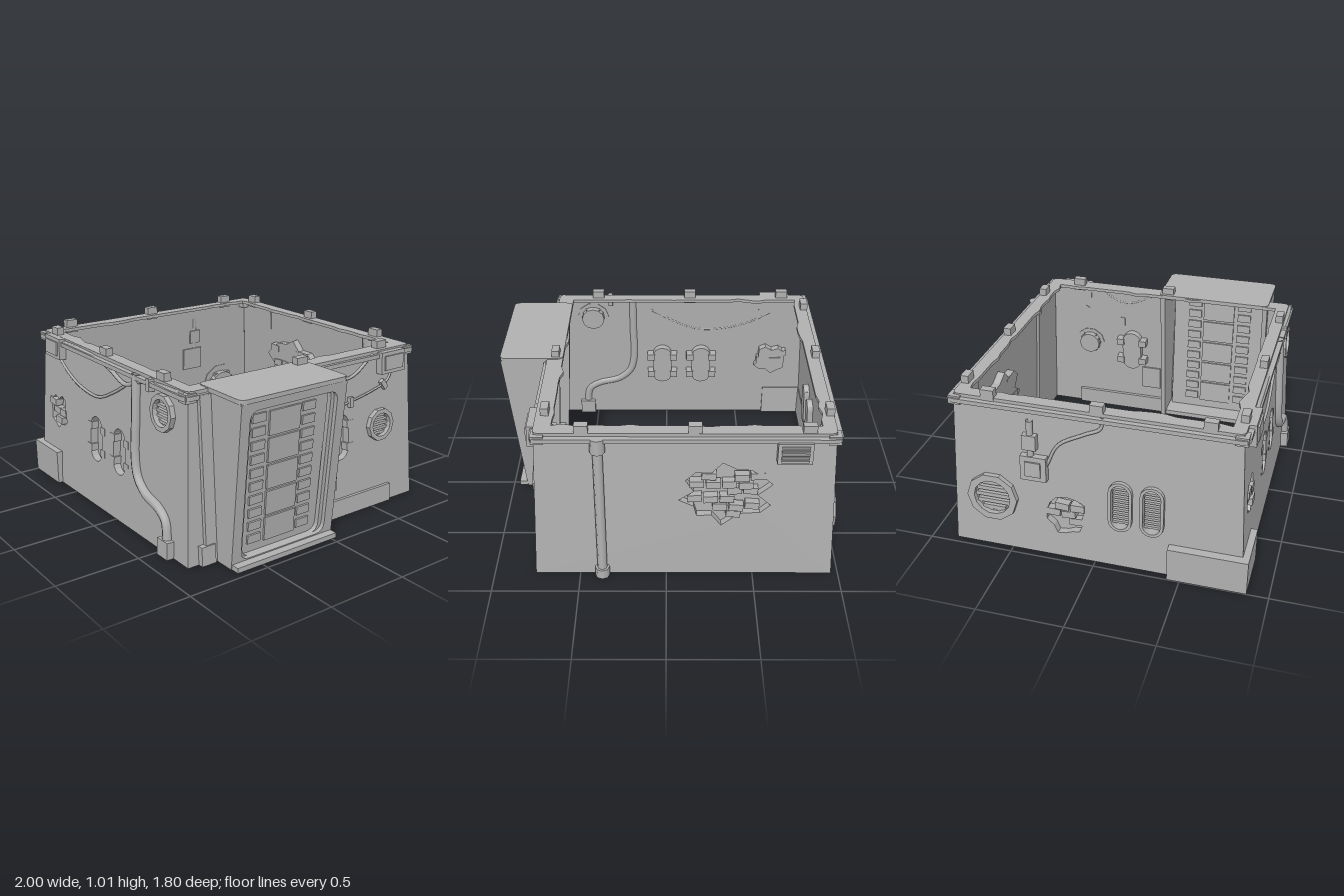
import * as THREE from 'three';

const stone = new THREE.MeshStandardMaterial({ color: 0xb0b0b0, side: THREE.DoubleSide });
stone.name = 'plain grey';

const CX = -0.1, H = 0.96, LEAN = 0.05;

// Seeded noise for broken edges
function noise(seed) {
  let s = seed;
  return () => (s = (s * 16807) % 2147483647) / 2147483647;
}
const v2 = (x, y) => new THREE.Vector2(x, y);

function add(parent, name, geo, pos = [0, 0, 0], rot = [0, 0, 0]) {
  const m = new THREE.Mesh(geo, stone);
  m.name = name;
  m.position.set(...pos);
  m.rotation.set(...rot);
  parent.add(m);
  return m;
}
const box = (p, name, size, pos, rz = 0) => add(p, name, new THREE.BoxGeometry(...size), pos, [0, 0, rz]);

function tube(p, name, pts, r, w = 0, sides = 8) {
  const curve = new THREE.CatmullRomCurve3(pts.map(([x, y]) => new THREE.Vector3(x, y, w)), false, 'centripetal');
  return add(p, name, new THREE.TubeGeometry(curve, pts.length * 6, r, sides));
}

// Outlines used for openings in the walls
function capsule(u, v, w, h, n = 8) {
  const r = w / 2, pts = [];
  for (let i = 0; i <= n; i++) pts.push(v2(u + r * Math.cos(Math.PI * i / n), v + h / 2 - r + r * Math.sin(Math.PI * i / n)));
  for (let i = 0; i <= n; i++) pts.push(v2(u - r * Math.cos(Math.PI * i / n), v - h / 2 + r - r * Math.sin(Math.PI * i / n)));
  return pts;
}
function circle(u, v, r, n = 12) {
  return Array.from({ length: n }, (_, i) => v2(u + r * Math.cos(2 * Math.PI * i / n), v + r * Math.sin(2 * Math.PI * i / n)));
}
function jagged(u, v, rx, ry, seed, n = 15) {
  const rnd = noise(seed);
  return circle(0, 0, 1, n).map(p => { const k = 0.7 + 0.4 * rnd(); return v2(u + p.x * rx * k, v + p.y * ry * k); });
}
function rounded(x0, y0, x1, y1, r, Type = THREE.Shape) {
  const s = new Type();
  s.moveTo(x0 + r, y0); s.lineTo(x1 - r, y0); s.quadraticCurveTo(x1, y0, x1, y0 + r);
  s.lineTo(x1, y1 - r); s.quadraticCurveTo(x1, y1, x1 - r, y1);
  s.lineTo(x0 + r, y1); s.quadraticCurveTo(x0, y1, x0, y1 - r);
  s.lineTo(x0, y0 + r); s.quadraticCurveTo(x0, y0, x0 + r, y0);
  return s;
}
const extrude = (shape, depth) => new THREE.ExtrudeGeometry(shape, { depth, bevelEnabled: false, curveSegments: 5 });

// Leaning wall sheet: local x along the wall, y up, z outwards
function wall(root, name, half, dist, angle, holes) {
  const turn = new THREE.Group(), g = new THREE.Group();
  g.name = name;
  turn.position.x = CX;
  turn.rotation.y = angle;
  g.position.z = dist;
  g.rotation.x = -Math.atan(LEAN / H);
  const s = new THREE.Shape([v2(-half, 0), v2(half, 0), v2(half - LEAN, H), v2(LEAN - half, H)]);
  s.holes = holes.map(pts => new THREE.Path(pts));
  add(g, name + 'Sheet', new THREE.ShapeGeometry(s));
  turn.add(g);
  root.add(turn);
  return g;
}
// Sunken pocket behind an opening: side strip and floor
function pocket(p, name, pts, depth) {
  const n = pts.length, geo = new THREE.PlaneGeometry(1, 1, n, 1), a = geo.attributes.position;
  for (let i = 0; i < a.count; i++) {
    const q = pts[i % (n + 1) % n];
    a.setXYZ(i, q.x, q.y, i > n ? -depth : 0);
  }
  const flat = geo.toNonIndexed();
  flat.computeVertexNormals();
  add(p, name + 'Side', flat);
  add(p, name + 'Floor', new THREE.ShapeGeometry(new THREE.Shape(pts)), [0, 0, -depth]);
}
function ovalWindow(p, pts, u, v) {
  pocket(p, 'ovalRecess', pts, 0.045);
  for (const su of [-1, 1]) for (const dv of [-0.07, 0.07])
    box(p, 'ovalClamp', [0.05, 0.045, 0.06], [u + su * 0.078, v + dv, -0.028]);
}
// Ring frame with louvres, over a sunken opening
function roundVent(p, pts, u, v, r) {
  pocket(p, 'ventRecess', pts, 0.04);
  const s = new THREE.Shape(circle(0, 0, r, 10));
  s.holes.push(new THREE.Path(circle(0, 0, r * 0.72, 14)));
  add(p, 'ventRing', extrude(s, 0.035), [u, v, -0.005]);
  for (let i = -2; i <= 2; i++)
    box(p, 'ventLouvre', [2 * r * 0.72 * Math.cos(i * 0.45), r * 0.16, 0.03], [u, v + i * r * 0.27, -0.01]);
}
function louvreOval(p, pts, u, v, w, h) {
  pocket(p, 'slotRecess', pts, 0.035);
  const s = new THREE.Shape(capsule(0, 0, w + 0.035, h + 0.035));
  s.holes.push(new THREE.Path(capsule(0, 0, w, h)));
  add(p, 'slotFrame', extrude(s, 0.025), [u, v, 0]);
  for (let i = -4; i <= 4; i++) box(p, 'slotLouvre', [w * 0.9, 0.014, 0.03], [u, v + i * h * 0.095, -0.01]);
}
// Broken plaster with exposed bricks
function damage(p, pts, u, v, rx, ry, seed) {
  pocket(p, 'brokenPatch', pts, 0.045);
  const rnd = noise(seed), rows = Math.round(ry / 0.035);
  for (let j = 0; j < rows; j++) {
    const dv = (j + 0.5 - rows / 2) * 0.05, span = rx * 0.7 * Math.sqrt(Math.max(0.1, 1 - (dv / ry) ** 2));
    for (let x = -span; x < span; x += 0.09)
      if (rnd() > 0.2) box(p, 'brick', [0.08, 0.042, 0.05], [u + x + (j % 2) * 0.04, v + dv, -0.03 + rnd() * 0.025], (rnd() - 0.5) * 0.2);
  }
}
function lampBox(p, u, v, slats) {
  box(p, 'wallBox', [0.19, 0.13, 0.05], [u, v, 0.02]);
  if (slats) for (let i = -2; i <= 2; i++) box(p, 'boxSlat', [0.15, 0.012, 0.02], [u, v + i * 0.022, 0.045]);
  else box(p, 'boxCover', [0.145, 0.085, 0.02], [u, v, 0.045]);
}

export function createModel() {
  const root = new THREE.Group();
  root.name = 'roomShell';

  // Front wall
  const oA = capsule(-0.14, 0.43, 0.13, 0.28), oB = capsule(0.13, 0.43, 0.13, 0.28);
  const fVent = circle(0.6, 0.8, 0.075), fHole = jagged(-0.62, 0.475, 0.11, 0.11, 17);
  const front = wall(root, 'frontWall', 0.86, 0.85, 0, [oA, oB, fVent, fHole]);
  ovalWindow(front, oA, -0.14, 0.43);
  ovalWindow(front, oB, 0.13, 0.43);
  roundVent(front, fVent, 0.6, 0.8, 0.105);
  damage(front, fHole, -0.62, 0.475, 0.11, 0.11, 5);
  lampBox(front, -0.62, 0.9, false);
  tube(front, 'frontPipe', [[0.33, 0.95], [0.33, 0.7], [0.33, 0.47], [0.36, 0.36], [0.44, 0.29], [0.58, 0.25], [0.65, 0.2], [0.67, 0.1], [0.67, 0]], 0.028, 0.012);
  box(front, 'pipeFoot', [0.1, 0.1, 0.07], [0.67, 0.05, 0.01]);
  tube(front, 'upperCable', [[-0.82, 0.93], [-0.3, 0.945], [0, 0.92], [0.21, 0.86], [0.35, 0.91], [0.5, 0.935], [0.8, 0.95]], 0.013, 0.012, 6);
  tube(front, 'hangingCable', [[-0.66, 0.87], [-0.47, 0.76], [-0.3, 0.71], [-0.1, 0.705], [0.08, 0.78], [0.22, 0.86]], 0.009, 0.006, 6);
  box(front, 'cableClip', [0.03, 0.07, 0.05], [0.48, 0.925, 0.012]);

  // Right wall with the doorway gap
  const gap = [v2(-0.66, 0.004), v2(0.02, 0.004), v2(0.02, 0.945), v2(-0.66, 0.945)];
  const rOval = capsule(0.25, 0.49, 0.13, 0.28), rVent = circle(0.56, 0.51, 0.07);
  const right = wall(root, 'sideWallWithDoor', 0.85, 0.86, Math.PI / 2, [gap, rOval, rVent]);
  ovalWindow(right, rOval, 0.25, 0.49);
  roundVent(right, rVent, 0.56, 0.51, 0.1);
  lampBox(right, 0.635, 0.89, false);
  box(right, 'baseTrim', [0.61, 0.11, 0.04], [0.345, 0.055, 0]);
  box(right, 'doorPilaster', [0.07, 0.94, 0.05], [-0.71, 0.47, 0]);
  box(right, 'pilasterFoot', [0.09, 0.11, 0.06], [-0.735, 0.055, 0.005]);
  box(right, 'controlBox', [0.13, 0.16, 0.05], [0.12, 0.27, 0.015]);
  box(right, 'controlPlate', [0.09, 0.11, 0.02], [0.12, 0.275, 0.038]);
  for (const du of [-0.02, 0.02]) box(right, 'controlSwitch', [0.015, 0.07, 0.015], [0.12 + du, 0.275, 0.05]);
  tube(right, 'controlCable', [[0.13, 0.35], [0.135, 0.6], [0.19, 0.67], [0.32, 0.695], [0.5, 0.73], [0.62, 0.77], [0.66, 0.83]], 0.007, 0.006, 6);
  for (const [u, v, a] of [[0.32, 0.695, 0], [0.585, 0.755, 0.6]]) box(right, 'cableClip', [0.03, 0.06, 0.03], [u, v, 0.01], a);
  tube(right, 'hangingCable', [[0.04, 0.95], [0.15, 0.89], [0.27, 0.84], [0.35, 0.85], [0.5, 0.95]], 0.009, 0.006, 6);

  // Back wall
  const bHole = jagged(0.23, 0.56, 0.25, 0.2, 91, 19);
  const back = wall(root, 'backWall', 0.86, 0.85, Math.PI, [bHole]);
  damage(back, bHole, 0.23, 0.56, 0.25, 0.2, 23);
  lampBox(back, 0.59, 0.86, true);
  tube(back, 'drainPipe', [[-0.47, 0.94], [-0.47, 0.5], [-0.47, 0]], 0.028, 0.015);
  for (const [v, h] of [[0.9, 0.09], [0.03, 0.06]])
    add(back, 'pipeCollar', new THREE.CylinderGeometry(0.042, 0.042, h, 8), [-0.47, v, 0.015]);

  // Left wall
  const lVent = circle(-0.6, 0.34, 0.1, 14), lHole = jagged(-0.16, 0.27, 0.12, 0.13, 41);
  const sA = capsule(0.15, 0.41, 0.1, 0.28), sB = capsule(0.33, 0.41, 0.1, 0.28);
  const left = wall(root, 'plainSideWall', 0.85, 0.86, -Math.PI / 2, [lVent, lHole, sA, sB]);
  roundVent(left, lVent, -0.6, 0.34, 0.15);
  damage(left, lHole, -0.16, 0.27, 0.12, 0.13, 77);
  louvreOval(left, sA, 0.15, 0.41, 0.1, 0.28);
  louvreOval(left, sB, 0.33, 0.41, 0.1, 0.28);
  box(left, 'meterBox', [0.15, 0.15, 0.05], [-0.34, 0.58, 0.015]);
  box(left, 'meterPlate', [0.09, 0.09, 0.02], [-0.34, 0.58, 0.04]);
  tube(left, 'meterRod', [[-0.36, 0.65], [-0.36, 0.75], [-0.36, 0.87]], 0.02, 0.015);
  box(left, 'rodBlock', [0.08, 0.09, 0.05], [-0.36, 0.74, 0.015]);
  tube(left, 'meterCable', [[-0.27, 0.6], [-0.2, 0.74], [-0.05, 0.83], [0.04, 0.88], [0.05, 0.95]], 0.01, 0.01, 6);

  // Corner plinth wrapping the front left foot
  box(root, 'plinthFront', [0.31, 0.21, 0.045], [-0.845, 0.105, 0.855]);
  box(root, 'plinthSide', [0.055, 0.21, 0.45], [-0.9725, 0.105, 0.6525]);

  // Top rim with a ragged inner edge
  const rnd = noise(7), rim = rounded(-0.915, -0.805, 0.715, 0.805, 0.04), inner = [];
  const c = [[-0.84, -0.73], [0.62, -0.73], [0.62, 0.73], [-0.84, 0.73]];
  c.forEach(([x, y], k) => {
    const [x2, y2] = c[(k + 1) % 4];
    for (let i = 0; i < 24; i++) {
      const t = i / 24, j = rnd() > 0.75 ? (rnd() - 0.5) * 0.04 : 0;
      inner.push(v2(x + (x2 - x) * t + (k % 2 ? j : 0), y + (y2 - y) * t + (k % 2 ? 0 : j)));
    }
  });
  rim.holes.push(new THREE.Path(inner));
  add(root, 'topRim', extrude(rim, 0.02), [0, 0.965, 0], [Math.PI / 2, 0, 0]);

  // Cable moulding running around the top
  const band = rounded(-0.945, -0.835, 0.735, 0.835, 0.05);
  band.holes.push(rounded(-0.91, -0.8, 0.705, 0.8, 0.03, THREE.Path));
  add(root, 'topMoulding', extrude(band, 0.025), [0, 0.945, 0], [Math.PI / 2, 0, 0]);
  for (const x of [-0.9, 0.69]) for (const z of [-0.79, 0.79]) box(root, 'cornerClip', [0.07, 0.05, 0.07], [x, 0.93, z]);

  // Studs along the rim
  for (const x of [-0.765, -0.155, 0.455]) for (const z of [-0.78, 0.78]) box(root, 'rimStud', [0.075, 0.08, 0.045], [x, 0.97, z]);
  for (const [x, z] of [[-0.895, -0.6], [-0.895, 0.015], [-0.895, 0.625], [0.665, -0.6], [0.665, 0.015]])
    box(root, 'rimStud', [0.045, 0.08, 0.075], [x, 0.97, z]);

  // Door hood, leaning outwards towards the top
  const door = new THREE.Group();
  door.name = 'doorway';
  root.add(door);
  const cheek = new THREE.Shape([v2(0.7, 0), v2(0.905, 0), v2(0.99, 0.95), v2(0.64, 0.95)]);
  for (const z of [-0.035, 0.645]) add(door, 'hoodCheek', extrude(cheek, 0.03), [0, 0, z]);
  add(door, 'hoodRoof', extrude(rounded(0.62, -0.04, 1, 0.68, 0.04), 0.025), [0, 0.97, 0], [Math.PI / 2, 0, 0]);
  box(door, 'doorSill', [0.24, 0.03, 0.7], [0.84, 0.015, 0.32]);

  // Nested frames, local x running towards the back
  const face = new THREE.Group();
  face.position.set(0.91, 0, 0.32);
  face.rotation.set(0, Math.PI / 2, 0);
  door.add(face);
  const tilt = Math.atan(0.088 / 0.95);
  for (const [name, w, inset, z] of [['outerFrame', 0.355, 0.06, -0.03], ['innerFrame', 0.315, 0.045, -0.055]]) {
    const s = rounded(-w, 0.005, w, 0.955, 0.02);
    s.holes.push(rounded(inset - w, 0.04, w - inset, 0.965 - inset, 0.06, THREE.Path));
    add(face, name, extrude(s, 0.028), [0, 0, z], [tilt, 0, 0]);
  }
  // Door leaf with centre panels and side ladders
  const leaf = new THREE.Group();
  leaf.name = 'doorLeaf';
  leaf.position.z = -0.06;
  leaf.rotation.x = tilt * 0.6;
  face.add(leaf);
  box(leaf, 'doorPanel', [0.62, 0.94, 0.012], [0, 0.47, 0]);
  for (let i = 0; i < 5; i++) box(leaf, 'centrePanel', [0.21, 0.14, 0.035], [0, 0.155 + i * 0.155, 0]);
  for (const x of [-0.175, 0.165]) for (let i = 0; i < 10; i++)
    box(leaf, 'ladderPanel', [0.088, 0.05, 0.035], [x, 0.12 + i * 0.078, 0]);
  return root;
}
